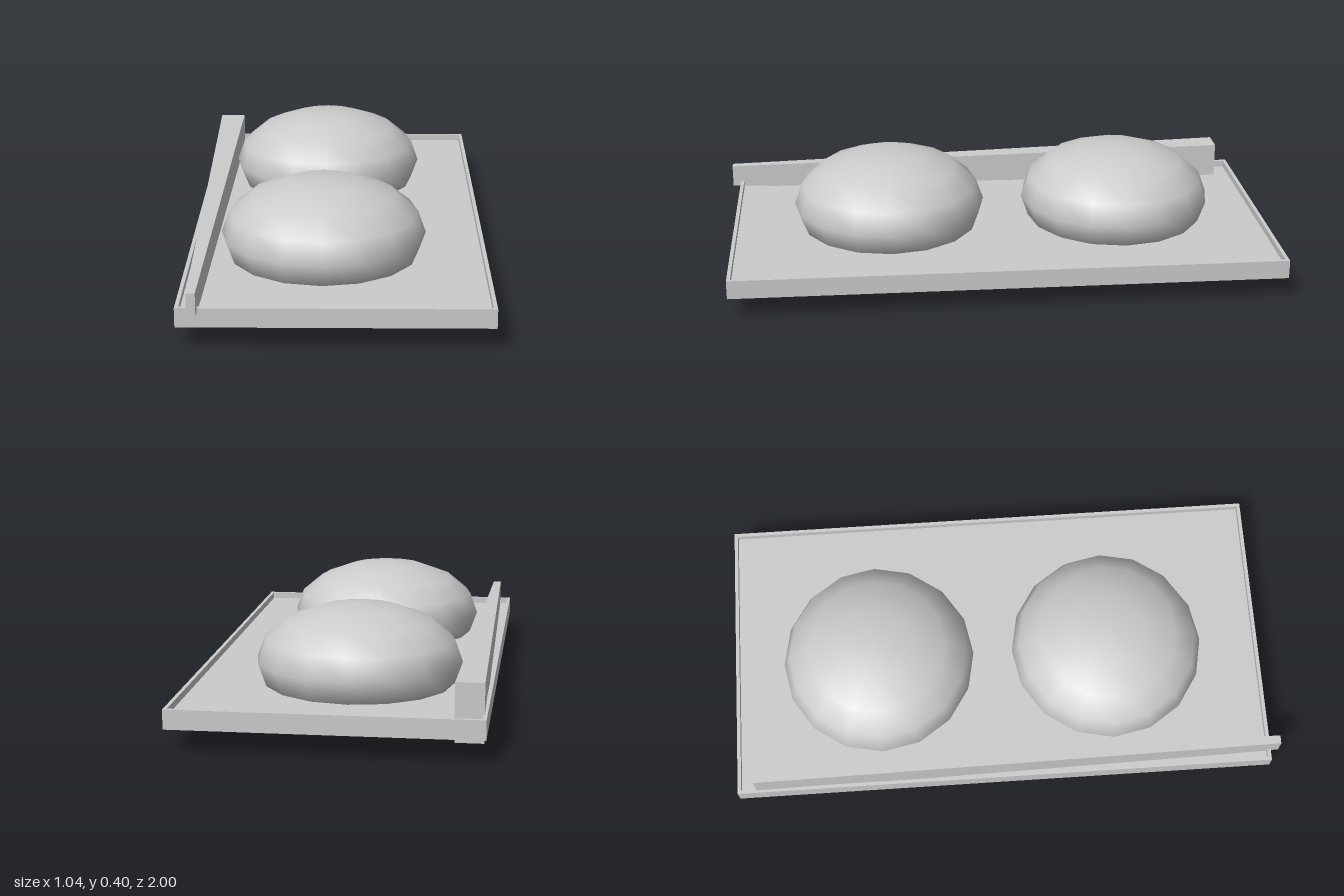
import * as THREE from 'three';

const material = new THREE.MeshStandardMaterial({ color: 0xcccccc });

function addMesh(parent, geometry, name, x, y, z) {
  const mesh = new THREE.Mesh(geometry, material);
  mesh.name = name;
  mesh.position.set(x, y, z);
  parent.add(mesh);
  return mesh;
}

export function createModel() {
  const group = new THREE.Group();
  group.name = 'trayWithCushions';

  // Shallow tray: a floor slab with a thin raised rim
  const width = 1.04, back = -1, front = 0.97, bottom = 0.08, floorTop = 0.123, top = 0.147;
  const rim = 0.013, length = front - back, midZ = (front + back) / 2;
  const tray = new THREE.Group();
  tray.name = 'tray';
  group.add(tray);
  addMesh(tray, new THREE.BoxGeometry(width, floorTop - bottom, length), 'trayFloor', 0, (floorTop + bottom) / 2, midZ);

  const outline = (w, l, Type) => new Type().setFromPoints([
    new THREE.Vector2(-w / 2, -l / 2), new THREE.Vector2(w / 2, -l / 2),
    new THREE.Vector2(w / 2, l / 2), new THREE.Vector2(-w / 2, l / 2),
  ]);
  const rimShape = outline(width, length, THREE.Shape);
  rimShape.holes.push(outline(width - 2 * rim, length - 2 * rim, THREE.Path));
  const rimGeometry = new THREE.ExtrudeGeometry(rimShape, { depth: top - floorTop, bevelEnabled: false });
  rimGeometry.rotateX(-Math.PI / 2);
  addMesh(tray, rimGeometry, 'trayRim', 0, floorTop, midZ);

  // Two flattened balls sunk through the tray
  [['frontBall', 0.392, 0.201], ['backBall', -0.458, 0.203]].forEach(([name, z, y]) => {
    const ball = addMesh(group, new THREE.SphereGeometry(1, 16, 8), name, -0.05, y, z);
    ball.scale.set(0.36, 0.2, 0.353);
  });

  // Side beam, thick at the back and tapering to the front
  const beam = new THREE.BoxGeometry(1, 1, 1.93);
  const p = beam.attributes.position;
  for (let i = 0; i < p.count; i++) {
    const atFront = p.getZ(i) > 0;
    p.setX(i, p.getX(i) * (atFront ? 0.03 : 0.096));
    p.setY(i, p.getY(i) * (atFront ? 0.08 : 0.2) + (atFront ? 0.17 : 0.15));
  }
  beam.computeVertexNormals();
  addMesh(group, beam, 'taperedBeam', -0.463, 0, 0.035);

  return group;
}
